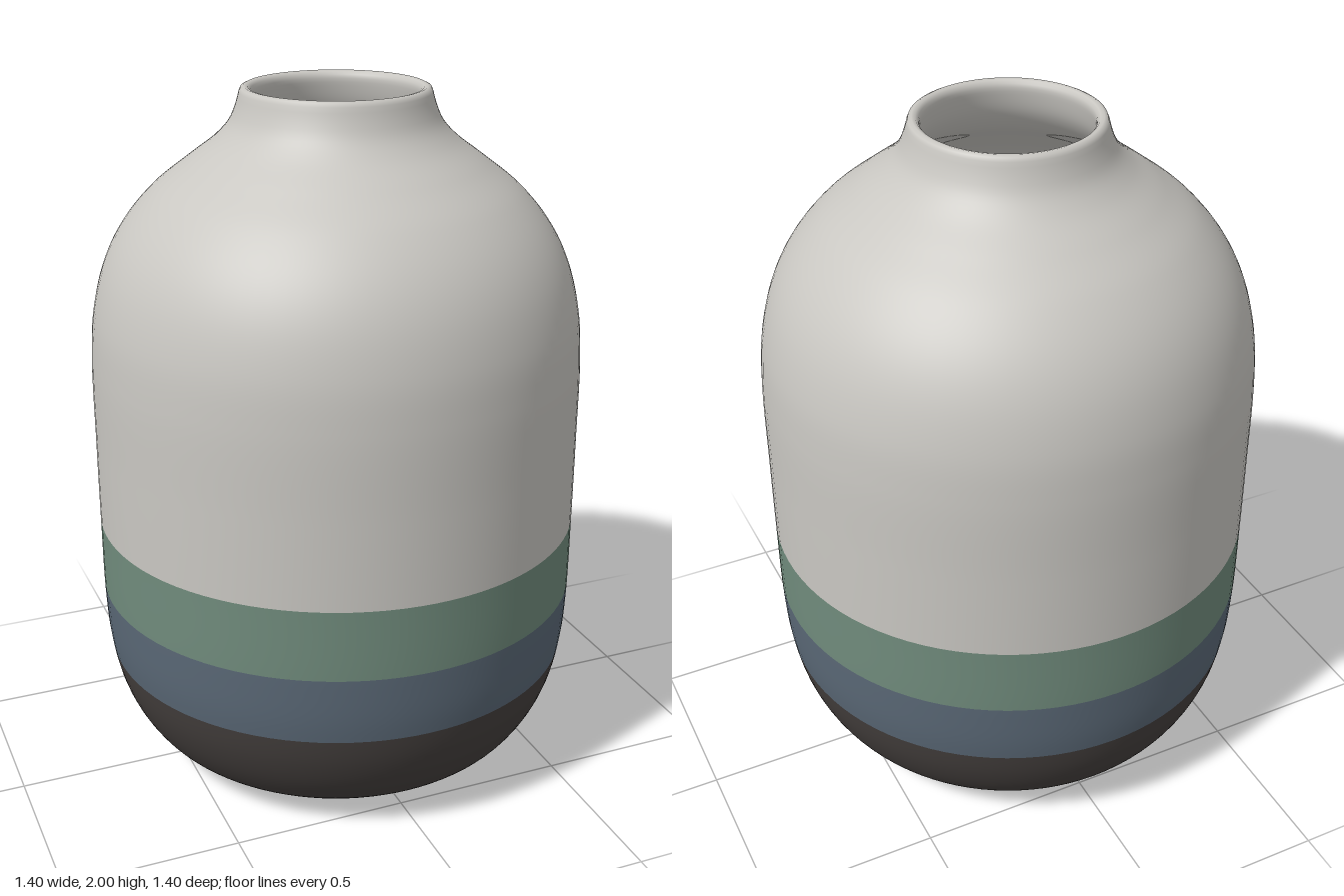
import * as THREE from 'three';

const material = (name, color) => Object.assign(new THREE.MeshStandardMaterial({ color }), { name });

// Smooth radius/height curve through a few points
const smooth = (points, count) =>
  new THREE.CatmullRomCurve3(points.map(([r, y]) => new THREE.Vector3(r, y, 0)), false, 'centripetal')
    .getSpacedPoints(count)
    .map((p) => new THREE.Vector2(Math.max(p.x, 0), Math.max(p.y, 0)));

// Part of a rising profile between two heights, with exact cut ends
function slice(profile, low, high) {
  const cut = (y) => {
    const i = profile.findIndex((p) => p.y >= y);
    const a = profile[i - 1], b = profile[i];
    return a.clone().lerp(b, (y - a.y) / (b.y - a.y));
  };
  const middle = profile.filter((p) => p.y > low + 1e-4 && p.y < high - 1e-4);
  const start = low > 0 ? [cut(low)] : [new THREE.Vector2(0, 0)];
  const end = high < 1.9 ? [cut(high)] : [];
  return [...start, ...middle, ...end];
}

export function createModel() {
  const grey = material('pale grey glaze', 0xc9c7c2);
  const green = material('sage green glaze', 0x708b7c);
  const blue = material('slate blue glaze', 0x5a6876);
  const dark = material('dark brown glaze', 0x443f3d);

  const vase = new THREE.Group();
  vase.name = 'vase';
  const add = (name, points, mat) => {
    const mesh = new THREE.Mesh(new THREE.LatheGeometry(points, 96), mat);
    mesh.name = name;
    vase.add(mesh);
  };

  // Outer wall, from the centre of the base up to the lip
  const outer = smooth([
    [0, 0], [0.2, 0.004], [0.35, 0.015], [0.48, 0.038], [0.56, 0.085], [0.62, 0.16],
    [0.665, 0.26], [0.69, 0.38], [0.7, 0.52], [0.702, 0.75], [0.702, 1.0], [0.7, 1.25],
    [0.687, 1.39], [0.652, 1.52], [0.6, 1.62], [0.52, 1.715], [0.42, 1.795],
    [0.335, 1.86], [0.295, 1.905], [0.275, 1.95], [0.265, 1.985],
  ], 180);

  // Rounded lip and hollow inside, from the lip down to the inner floor
  const inner = smooth([
    [0.265, 1.985], [0.26, 1.996], [0.25, 2.0], [0.24, 1.997], [0.232, 1.985],
    [0.236, 1.95], [0.255, 1.895], [0.3, 1.835], [0.39, 1.765], [0.49, 1.68],
    [0.565, 1.59], [0.615, 1.5], [0.648, 1.38], [0.662, 1.25], [0.662, 0.52],
    [0.65, 0.38], [0.62, 0.26], [0.56, 0.15], [0.47, 0.085], [0.3, 0.055], [0, 0.045],
  ], 240);

  add('base', slice(outer, 0, 0.35), dark);
  add('lowerBand', slice(outer, 0.35, 0.55), blue);
  add('upperBand', slice(outer, 0.55, 0.757), green);
  add('bodyAndNeck', [...slice(outer, 0.757, 1.984), ...inner], grey);

  return vase;
}
